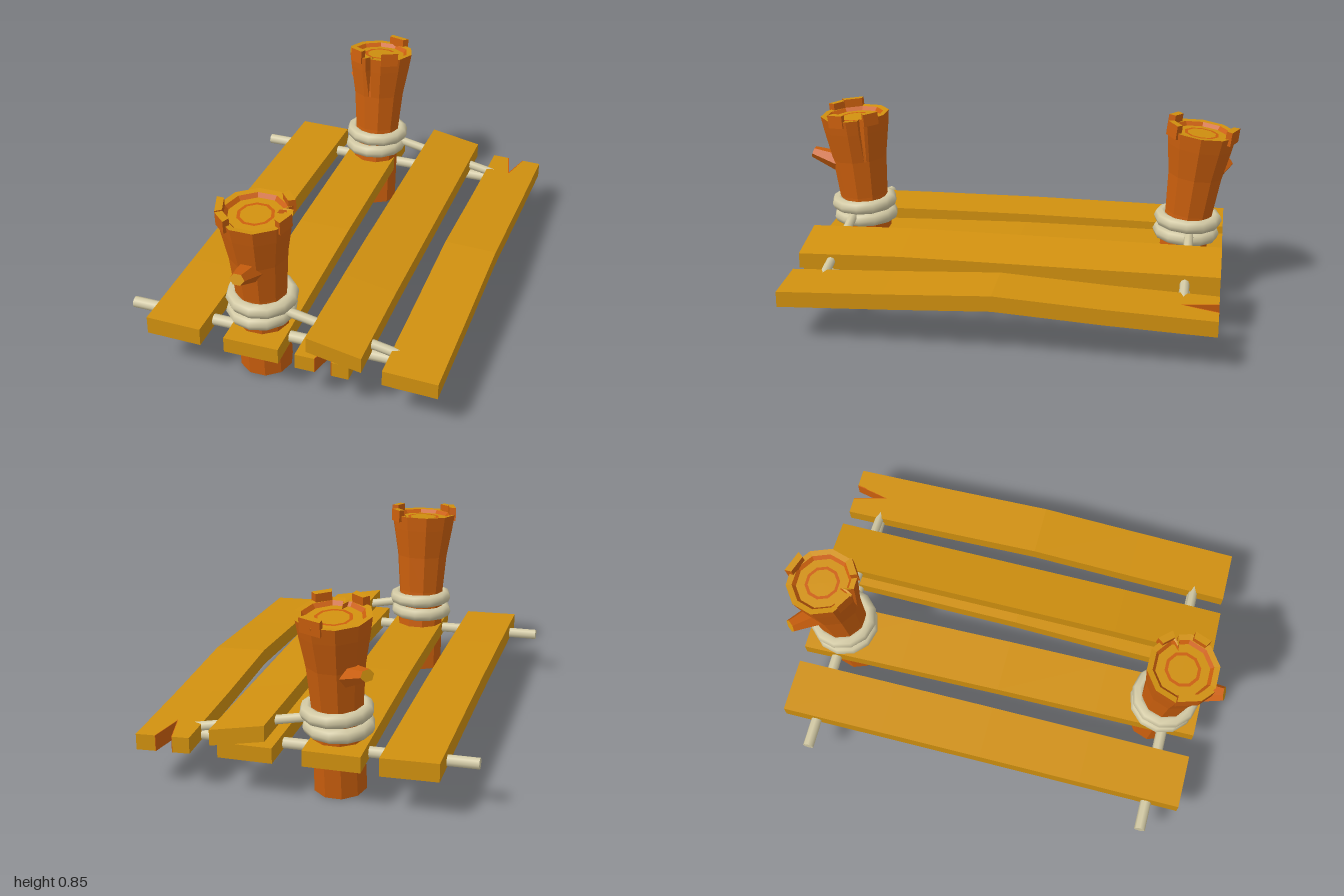
import * as THREE from 'three';
import { mergeGeometries } from 'three/addons/utils/BufferGeometryUtils.js';

const mat = (name, color, extra = {}) => {
  const m = new THREE.MeshStandardMaterial({ color, ...extra });
  m.name = name;
  return m;
};

export function createModel() {
  const wood = mat('cut wood', 0xd0900f, { flatShading: true });
  const bark = mat('bark', 0xcb5f0d, { flatShading: true });
  const rope = mat('rope', 0xd2c9a4);
  const model = new THREE.Group();

  const add = (parent, name, geometry, material) => {
    const mesh = new THREE.Mesh(geometry, material);
    mesh.name = name;
    parent.add(mesh);
    return mesh;
  };

  // Upright prism over a plan outline of [x, z] points
  const prism = (pts, height) => {
    const shape = new THREE.Shape(pts.map(([x, z]) => new THREE.Vector2(x, -z)));
    return new THREE.ExtrudeGeometry(shape, { depth: height, bevelEnabled: false }).rotateX(-Math.PI / 2);
  };

  // ---- Planks: four bent sections, optionally with a V split in one end
  const stations = [-0.94, -0.47, 0, 0.47, 0.935];
  function plank(name, { x, w, t = 0.07, ys, roll = 0, yaw = 0, split }) {
    const bend = (g) => {
      const p = g.attributes.position;
      for (let i = 0; i < p.count; i++) {
        const z = p.getZ(i), px = p.getX(i);
        let k = 0;
        while (k < 3 && z > stations[k + 1]) k++;
        const f = (z - stations[k]) / (stations[k + 1] - stations[k]);
        const y = THREE.MathUtils.lerp(ys[k], ys[k + 1], f);
        p.setXYZ(i, x + px + yaw * z, p.getY(i) + y + roll * px, z);
      }
      g.computeVertexNormals();
      return g;
    };
    const h = w / 2, parts = [];
    for (let k = 0; k < 4; k++) {
      const a = stations[k], b = stations[k + 1];
      const pts = [[-h, a], [-h, b], [h, b], [h, a]];
      if (split && split.front && k === 3) pts.splice(2, 0, [split.x - split.w, b], [split.x, b - split.d], [split.x + split.w, b]);
      if (split && !split.front && k === 0) pts.push([split.x + split.w, a], [split.x, a + split.d], [split.x - split.w, a]);
      parts.push(prism(pts, t));
    }
    add(model, name, bend(mergeGeometries(parts)), wood);
    if (!split) return;
    // Bark-coloured faces lining the split
    const end = split.front ? stations[4] : stations[0], dir = split.front ? -1 : 1;
    const walls = [-1, 1].map((s) => {
      const g = new THREE.BoxGeometry(0.005, t, Math.hypot(split.w, split.d));
      g.rotateY(-s * dir * Math.atan2(split.w, split.d));
      return g.translate(split.x + s * split.w / 2, t / 2, end + dir * split.d / 2);
    });
    add(model, name + 'Split', bend(mergeGeometries(walls)), bark);
  }

  plank('rightPlank', { x: -0.455, w: 0.245, t: 0.08, ys: [0.175, 0.18, 0.182, 0.178, 0.172], roll: -0.02 });
  plank('postPlank', { x: -0.118, w: 0.245, ys: [0.176, 0.182, 0.184, 0.175, 0.164], yaw: 0.017 });
  plank('lowerPlank', {
    x: 0.222, w: 0.235, t: 0.068, ys: [0.172, 0.182, 0.19, 0.175, 0.162], yaw: -0.011,
    split: { x: 0.006, w: 0.038, d: 0.16, front: true },
  });
  plank('raisedPlank', { x: 0.264, w: 0.238, ys: [0.243, 0.244, 0.246, 0.247, 0.234], roll: -0.19 });
  plank('leftPlank', {
    x: 0.59, w: 0.236, ys: [0.169, 0.188, 0.215, 0.19, 0.169], roll: -0.035,
    split: { x: -0.005, w: 0.038, d: 0.16, front: false },
  });

  // ---- Ropes
  function ropeBar(name, a, b, r) {
    const A = new THREE.Vector3(...a), B = new THREE.Vector3(...b);
    const mesh = add(model, name, new THREE.CylinderGeometry(r, r, A.distanceTo(B), 8), rope);
    mesh.position.copy(A).add(B).multiplyScalar(0.5);
    mesh.quaternion.setFromUnitVectors(new THREE.Vector3(0, 1, 0), B.sub(A).normalize());
  }

  // ---- Post: flared trunk with cracks, broken rim, hollow top and a branch stub
  const SIDES = 10;
  const rad = THREE.MathUtils.degToRad;
  const profile = [[0.115, 0], [0.113, 0.22], [0.112, 0.4], [0.126, 0.58], [0.15, 0.72], [0.16, 0.79]];

  function trunkGeometry(crack) {
    const cols = [];
    for (let i = 0; i < SIDES; i++) cols.push([i * 36, 0]);
    cols.push([crack - 5, 0], [crack, 1], [crack + 5, 0]);
    cols.sort((a, b) => a[0] - b[0]);
    const at = (c, [r, y]) => {
      // flat sides: distance to the polygon edge at this angle
      const off = rad((((c[0] % 36) + 36) % 36) - 18);
      const push = c[1] * 0.03 * THREE.MathUtils.clamp((y - 0.62) / 0.1, 0, 1);
      const q = r * Math.cos(Math.PI / SIDES) / Math.cos(off) - push;
      return [q * Math.cos(rad(c[0])), y, q * Math.sin(rad(c[0]))];
    };
    const rings = [...profile, [0.134, 0.787], [0.118, 0.768]];
    const pos = [], g = new THREE.BufferGeometry();
    for (let j = 0; j < rings.length - 1; j++) {
      const start = pos.length / 3;
      cols.forEach((c, i) => {
        const d = cols[(i + 1) % cols.length];
        const a = at(c, rings[j]), b = at(d, rings[j]), e = at(d, rings[j + 1]), f = at(c, rings[j + 1]);
        pos.push(...a, ...f, ...e, ...a, ...e, ...b);
      });
      // the rim's flat top shows cut wood
      g.addGroup(start, pos.length / 3 - start, j === profile.length - 1 ? 1 : 0);
    }
    g.setAttribute('position', new THREE.Float32BufferAttribute(pos, 3));
    g.computeVertexNormals();
    return g;
  }

  function post(name, { z, lean, crack, chunks, knotAngle }) {
    const side = Math.sign(z);
    const g = new THREE.Group();
    g.name = name;
    g.position.set(-0.115, 0.012, z);
    g.rotation.x = lean;
    model.add(g);
    add(g, 'trunk', trunkGeometry(crack), [bark, wood]);

    // End faces and the growth ring
    const disc = (label, r, y, m, inner = 0) => {
      const geo = inner ? new THREE.RingGeometry(inner, r, SIDES) : new THREE.CircleGeometry(r, SIDES);
      add(g, label, geo.rotateX(-Math.PI / 2), m).position.y = y;
    };
    disc('topFace', 0.122, 0.77, wood);
    disc('growthRing', 0.08, 0.773, bark, 0.066);
    add(g, 'bottomFace', new THREE.CircleGeometry(0.115, SIDES).rotateX(Math.PI / 2), bark).position.y = 0.001;

    // Splinters standing up from the rim
    for (const [from, to, h] of chunks) {
      const p = (r, a) => [r * Math.cos(rad(a)), r * Math.sin(rad(a))];
      const pts = [p(0.166, from), p(0.134, from), p(0.134, to), p(0.166, to)];
      add(g, 'rimSplinter', prism(pts, h + 0.03), [wood, bark]).position.y = 0.76;
    }

    // Branch stub, swept outwards and up with a cut end
    const stub = new THREE.CylinderGeometry(0.026, 0.05, 0.15, 6);
    stub.scale(1, 1, 1.25).rotateZ(-rad(68)).translate(0.153, 0.578, 0);
    add(g, 'branchStub', stub, [bark, wood, bark]).rotation.y = -rad(knotAngle);

    // Two turns of rope round the post
    [[0.305, 0.121, 0.02], [0.373, 0.124, -0.02]].forEach(([y, r, tilt], i) => {
      const ring = add(model, 'ropeTurn', new THREE.TorusGeometry(r, 0.032, 8, 12).rotateX(Math.PI / 2), rope);
      ring.position.set(-0.113 - 0.006 * (1 - i), y, z + y * Math.sin(lean));
      ring.rotation.set(lean * 0.4, 0, tilt);
    });
    ropeBar('crossRope', [-0.71, 0.206, side * 0.788], [0.6, 0.196, side * 0.788], 0.025);
    ropeBar('tieRope', [-0.03, 0.335, side * 0.788], [0.58, 0.212, side * 0.788], 0.021);
  }

  post('frontPost', {
    z: 0.735, lean: 0.075, crack: 335, knotAngle: 90,
    chunks: [[118, 144, 0.03], [144, 180, 0.036], [-56, -30, 0.028], [5, 32, 0.03]],
  });
  post('backPost', {
    z: -0.735, lean: -0.112, crack: 97, knotAngle: 220,
    chunks: [[42, 72, 0.034], [108, 135, 0.034], [-88, -52, 0.034]],
  });

  return model;
}
